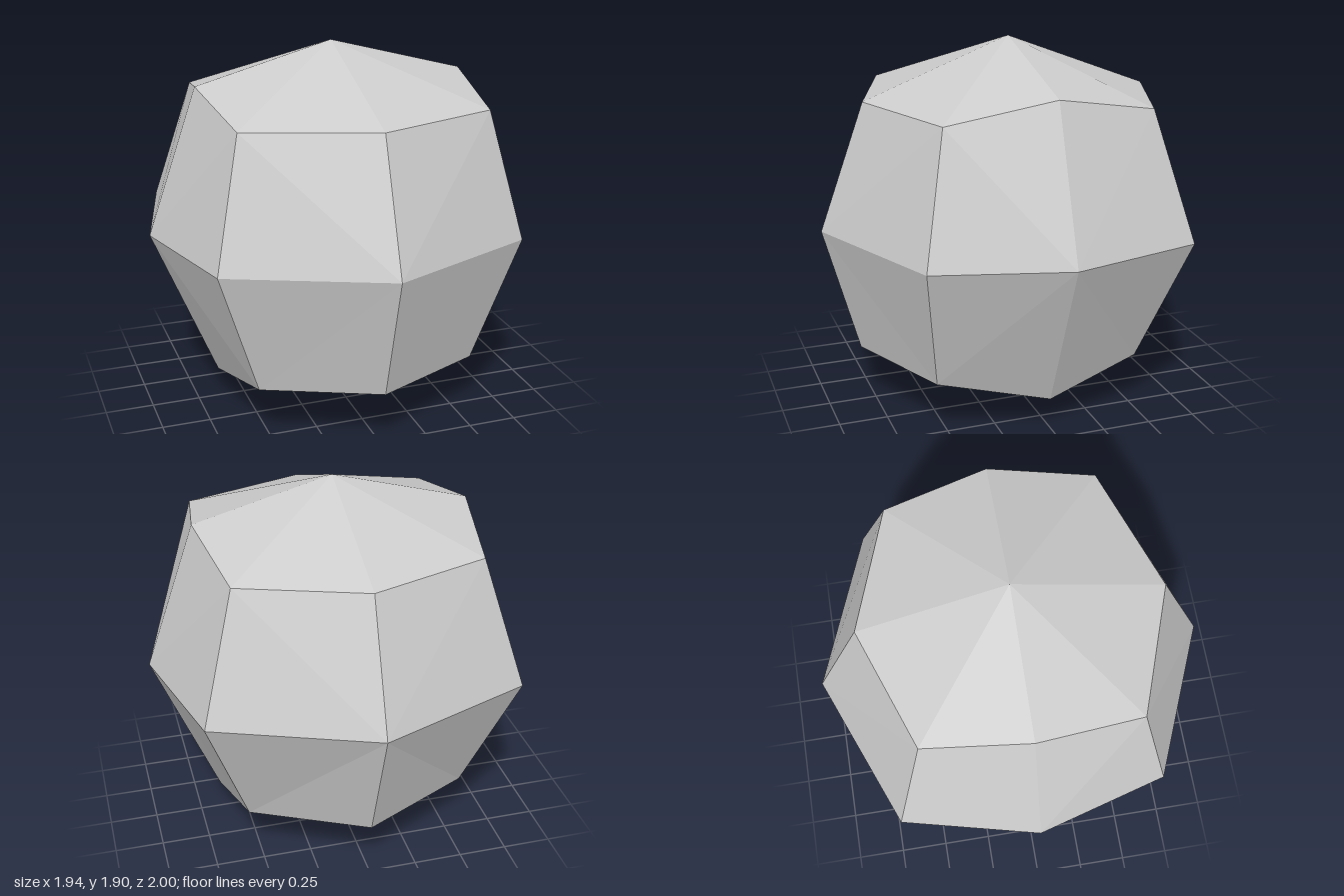
import * as THREE from 'three';

// Rock control points on a 3x3x3 lattice, rows keyed by "y z"; each row holds
// the [x, y, z] at lattice x = 0 and at x = 1 (mirrored for x = -1).
const ROWS = {
  '1 1': [[0, 1.61, 0.765], [0.64, 1.61, 0.54]],
  '1 0': [[0, 1.9, 0], [0.71, 1.71, 0]],
  '1 -1': [[0, 1.61, -0.75], [0.62, 1.61, -0.53]],
  '0 1': [[0, 0.96, 1], [0.785, 0.96, 0.67]],
  '0 0': [null, [0.97, 0.96, 0]],
  '0 -1': [[0, 0.96, -1], [0.8, 0.96, -0.687]],
  '-1 1': [[0, 0.3, 0.82], [0.57, 0.3, 0.57]],
  '-1 0': [[0, 0, 0], [0.64, 0.16, 0]],
  '-1 -1': [[0, 0.3, -0.777], [0.57, 0.3, -0.493]],
};

function latticePoint([i, j, k]) {
  const [x, y, z] = ROWS[`${j} ${k}`][Math.abs(i)];
  return [x * Math.sign(i), y, z];
}

export function createModel() {
  const ring = [[1, 0], [1, 1], [0, 1], [-1, 1], [-1, 0], [-1, -1], [0, -1], [1, -1]];
  const positions = [];

  // Six rounded sides, each a fan of facets around its centre
  for (let axis = 0; axis < 3; axis++) {
    for (const side of [1, -1]) {
      const at = (u, v) => {
        const c = [0, 0, 0];
        c[axis] = side;
        c[(axis + 1) % 3] = u;
        c[(axis + 2) % 3] = v * side; // keeps the winding outward
        return latticePoint(c);
      };
      ring.forEach((p, n) => {
        positions.push(...at(0, 0), ...at(...p), ...at(...ring[(n + 1) % 8]));
      });
    }
  }

  const geometry = new THREE.BufferGeometry();
  geometry.setAttribute('position', new THREE.Float32BufferAttribute(positions, 3));
  geometry.computeVertexNormals();

  const stone = new THREE.MeshStandardMaterial({ color: 0xcccccc, flatShading: true });
  stone.name = 'stone grey';

  const rock = new THREE.Mesh(geometry, stone);
  rock.name = 'rock';

  const group = new THREE.Group();
  group.name = 'facetedRock';
  group.add(rock);
  return group;
}
